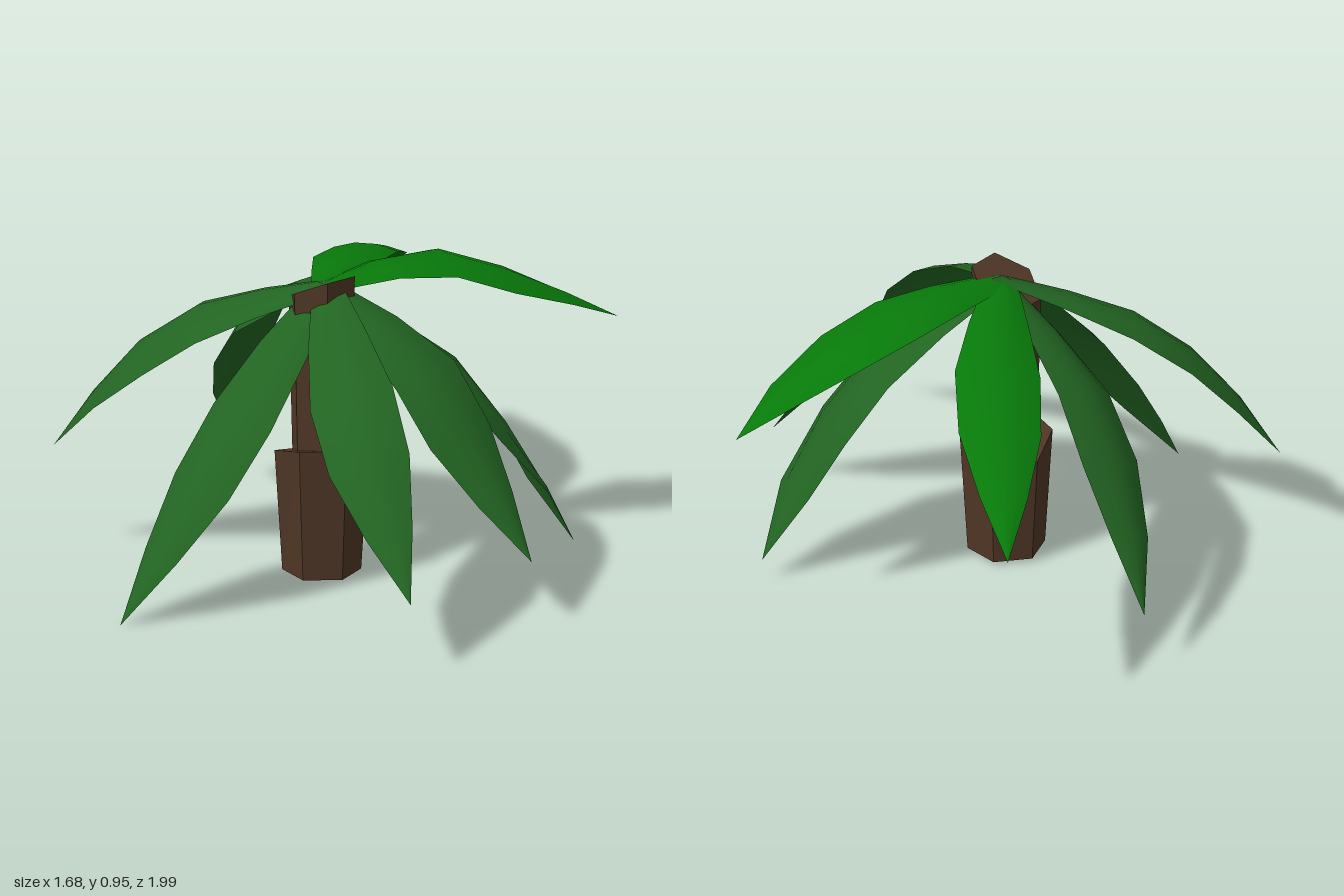
import * as THREE from 'three';

const mat = (name, color, side = THREE.FrontSide) => {
  const m = new THREE.MeshStandardMaterial({ color, side });
  m.name = name;
  return m;
};

// Six-sided trunk piece whose top slopes by (slopeX, slopeZ)
function trunkPiece(name, material, rTop, rBottom, y0, y1, turn, slopeX, slopeZ) {
  const h = y1 - y0;
  const geo = new THREE.CylinderGeometry(rTop, rBottom, h, 6, 1, false, turn);
  const p = geo.attributes.position;
  for (let i = 0; i < p.count; i++) {
    if (p.getY(i) > 0) p.setY(i, h / 2 + p.getX(i) * slopeX + p.getZ(i) * slopeZ);
  }
  const flat = geo.toNonIndexed();
  flat.computeVertexNormals();
  const mesh = new THREE.Mesh(flat, material);
  mesh.name = name;
  mesh.position.set(-0.05, (y0 + y1) / 2, 0.09);
  return mesh;
}

// Arched leaf swept along a drooping spine; roll > 0 lifts its right edge
const HALF_WIDTHS = [0.045, 0.09, 0.128, 0.124, 0.072, 0];
const ROOT = new THREE.Vector3(-0.04, 0.91, 0.105);
const COLUMNS = 4;

function frondGeometry(mid1, mid2, tip, roll) {
  const spine = new THREE.CatmullRomCurve3(
    [ROOT, ...[mid1, mid2, tip].map((v) => new THREE.Vector3(...v))]);
  const up = new THREE.Vector3(0, 1, 0);
  const pos = [], index = [];
  const rows = HALF_WIDTHS.length - 1;
  HALF_WIDTHS.forEach((half, r) => {
    const c = spine.getPointAt(r / rows);
    const t = spine.getTangentAt(r / rows);
    const side = new THREE.Vector3().crossVectors(t, up).normalize().applyAxisAngle(t, -roll);
    const normal = new THREE.Vector3().crossVectors(side, t);
    for (let k = 0; k <= COLUMNS; k++) {
      const s = (k / COLUMNS) * 2 - 1;
      const v = c.clone().addScaledVector(side, s * half)
        .addScaledVector(normal, half * (0.1 - 0.27 * s * s));
      pos.push(v.x, v.y, v.z);
    }
  });
  const w = COLUMNS + 1;
  for (let r = 0; r < rows; r++) {
    for (let k = 0; k < COLUMNS; k++) {
      const a = r * w + k, b = a + 1, d = a + w, e = d + 1;
      index.push(a, b, d);
      if (r < rows - 1) index.push(b, e, d);
    }
  }
  const geo = new THREE.BufferGeometry();
  geo.setAttribute('position', new THREE.Float32BufferAttribute(pos, 3));
  geo.setIndex(index);
  geo.computeVertexNormals();
  return geo;
}

export function createModel() {
  const group = new THREE.Group();
  group.name = 'palmTree';
  const bark = mat('bark brown', 0x4f3625);
  const dark = mat('leaf green', 0x226422, THREE.DoubleSide);
  const bright = mat('bright leaf green', 0x087a0a, THREE.DoubleSide);

  // Trunk: wide lower piece, slimmer upper piece
  group.add(trunkPiece('lowerTrunk', bark, 0.14, 0.117, 0.01, 0.385, Math.PI / 6, 0, 0.3));
  group.add(trunkPiece('upperTrunk', bark, 0.105, 0.092, 0.34, 0.9, 0.14, 0.3, 0.4));

  // Fronds: two spine points, tip, roll, material
  const fronds = [
    ['frontFrond', [0.0, 0.78, 0.42], [0.08, 0.54, 0.72], [0.19, 0.215, 0.99], -0.35, dark],
    ['frontLeftFrond', [0.24, 0.74, 0.32], [0.4, 0.48, 0.45], [0.56, 0.2, 0.58], -0.15, dark],
    ['leftFrond', [0.33, 0.67, 0.11], [0.54, 0.38, 0.1], [0.7, 0.07, 0.03], 0, dark],
    ['backLeftFrond', [0.28, 0.935, -0.07], [0.57, 0.825, -0.15], [0.84, 0.665, -0.28], 0, bright],
    ['backFrond', [0.06, 0.865, -0.35], [0.11, 0.74, -0.66], [0.16, 0.57, -1.0], 0.12, bright],
    ['backRightFrond', [-0.22, 0.73, -0.26], [-0.29, 0.48, -0.49], [-0.31, 0.18, -0.71], 0.5, dark],
    ['rightFrond', [-0.42, 0.78, 0.01], [-0.65, 0.6, -0.04], [-0.84, 0.34, -0.1], 0.2, dark],
    ['frontRightFrond', [-0.25, 0.66, 0.29], [-0.44, 0.37, 0.41], [-0.66, 0, 0.545], 0.15, dark],
  ];
  for (const [name, mid1, mid2, tip, roll, material] of fronds) {
    const mesh = new THREE.Mesh(frondGeometry(mid1, mid2, tip, roll), material);
    mesh.name = name;
    group.add(mesh);
  }
  return group;
}
